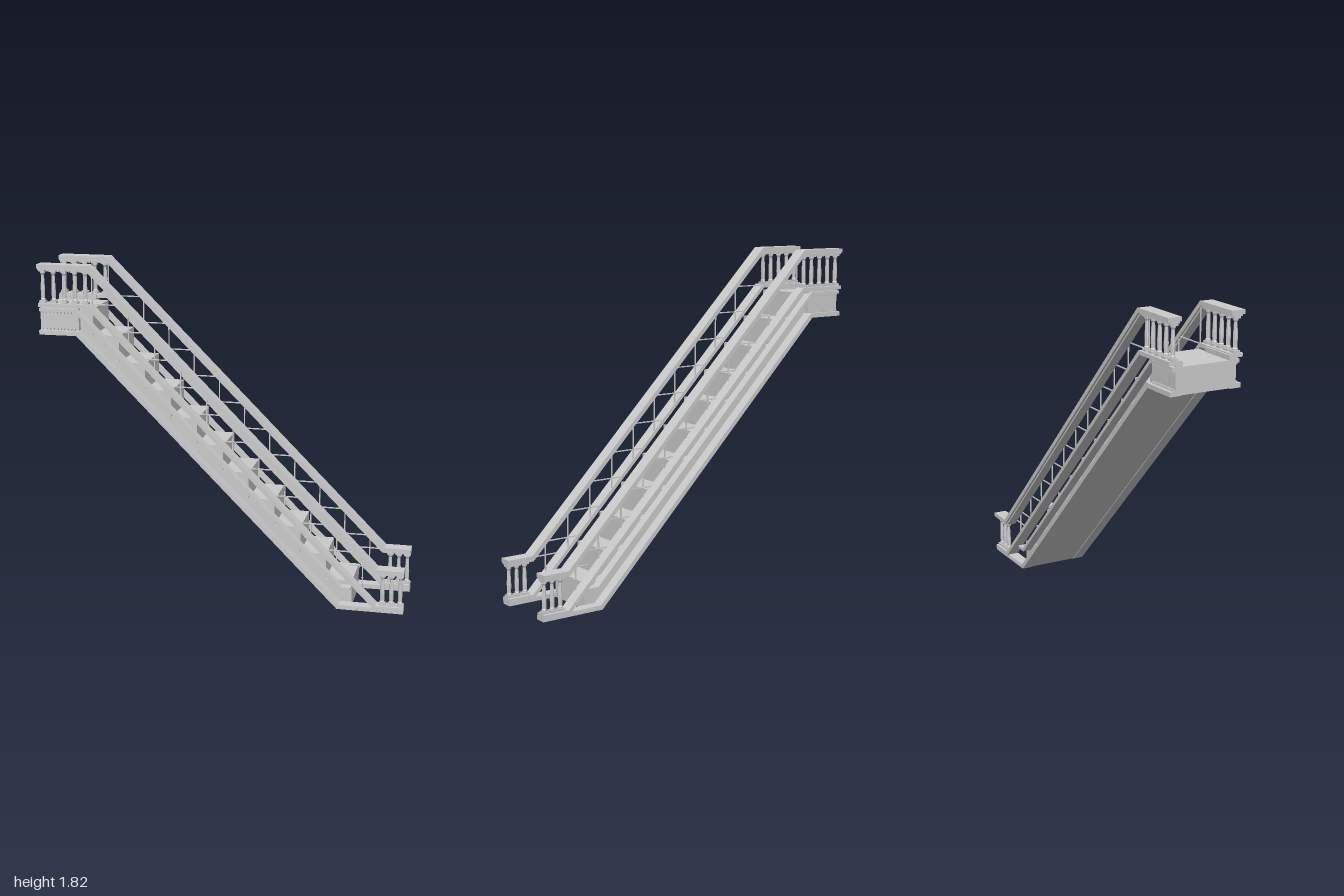
import * as THREE from 'three';

const mat = new THREE.MeshStandardMaterial({ color: 0xcccccc, flatShading: true, side: THREE.DoubleSide });
const RISE = 1.575 / 11, RUN = 0.143;

// Extrude a side profile (x, y points) between two z planes
function slab(name, pts, z0, z1) {
  const shape = new THREE.Shape(pts.map(p => new THREE.Vector2(p[0], p[1])));
  const geo = new THREE.ExtrudeGeometry(shape, { depth: z1 - z0, bevelEnabled: false });
  geo.translate(0, 0, z0);
  const mesh = new THREE.Mesh(geo, mat);
  mesh.name = name;
  return mesh;
}

// Flat - sloping - flat band of even thickness, given its top line
function band(name, top, t, z0, z1) {
  const m = t * Math.tan(Math.PI / 8);
  const low = top.map(([x, y], i) => [i === 1 || i === 2 ? x - m : x, y - t]);
  return slab(name, [...top, ...low.reverse()], z0, z1);
}

function box(name, x0, x1, y0, y1, z0, z1) {
  const mesh = new THREE.Mesh(new THREE.BoxGeometry(x1 - x0, y1 - y0, z1 - z0), mat);
  mesh.position.set((x0 + x1) / 2, (y0 + y1) / 2, (z0 + z1) / 2);
  mesh.name = name;
  return mesh;
}

// Slim post with square plinth and cap
function baluster(x, y0, y1, z) {
  const g = new THREE.Group();
  g.name = 'baluster';
  const h = y1 - y0;
  const prof = [[0.014, 0.012], [0.014, 0.02], [0.011, 0.026], [0.0125, h * 0.4], [0.009, h - 0.03], [0.014, h - 0.02], [0.014, h - 0.012]];
  const shaft = new THREE.Mesh(new THREE.LatheGeometry(prof.map(p => new THREE.Vector2(...p)), 8), mat);
  shaft.name = 'balusterShaft';
  shaft.position.set(x, y0, z);
  g.add(shaft);
  for (const y of [y0, y1 - 0.012]) g.add(box('balusterBlock', x - 0.018, x + 0.018, y, y + 0.012, z - 0.018, z + 0.018));
  return g;
}

// Row of small blocks under a moulding
function dentils(x0, x1, y, z0, z1) {
  const g = new THREE.Group();
  g.name = 'dentils';
  for (let x = x0 + 0.008; x < x1 - 0.008; x += 0.02) g.add(box('dentil', x, x + 0.01, y, y + 0.01, z0, z1));
  return g;
}

// Everything on one side, built for +z
function sideRailing() {
  const g = new THREE.Group();
  g.name = 'sideRailing';

  // Handrail, lower rail, step rail and base moulding
  g.add(band('handrail', [[-1, 1.815], [-0.715, 1.815], [0.855, 0.245], [1, 0.245]], 0.022, 0.14, 0.215));
  g.add(band('handrailMoulding', [[-1, 1.793], [-0.724, 1.793], [0.846, 0.223], [1, 0.223]], 0.009, 0.15, 0.203));
  g.add(band('lowerRail', [[-1, 1.605], [-0.715, 1.605], [0.853, 0.037], [1, 0.037]], 0.02, 0.14, 0.207));
  g.add(band('stepRail', [[-1, 1.577], [-0.795, 1.577], [0.66, 0.122], [0.715, 0.122]], 0.018, 0.138, 0.19));
  g.add(band('baseMoulding', [[-1, 1.458], [-0.782, 1.458], [0.652, 0.024], [1, 0.024]], 0.024, 0.138, 0.2));

  // Landing side wall and its trim
  g.add(box('landingWall', -1, -0.785, 1.45, 1.6, 0.13, 0.17));
  g.add(dentils(-1, -0.79, 1.549, 0.17, 0.182));
  g.add(dentils(-1, -0.79, 1.458, 0.17, 0.182));
  g.add(dentils(-1, -0.72, 1.776, 0.155, 0.195));
  g.add(dentils(0.66, 1, 0.008, 0.2, 0.205));

  // Balusters on the level stretches
  for (const x of [-0.98, -0.92, -0.86, -0.8, -0.742]) g.add(baluster(x, 1.605, 1.785, 0.175));
  for (const x of [0.885, 0.933, 0.98]) g.add(baluster(x, 0.037, 0.215, 0.175));

  // Thin stepped bars filling the sloping stretch
  const r = 0.003, z = 0.147;
  for (let k = 0; k < 10; k++) {
    const x = -0.515 + RUN * k, y = 1.6 - RUN * k;
    g.add(box('crossBar', x - 0.2, x + 0.01, y - r, y + r, z - r, z + r));
    g.add(box('uprightBar', x - r, x + r, y - 0.21, y, z - r, z + r));
    const knot = new THREE.Mesh(new THREE.OctahedronGeometry(0.007), mat);
    knot.name = 'barKnot';
    knot.position.set(x, y - RUN, z);
    g.add(knot);
  }
  g.add(box('crossBar', 0.7, 0.86, 0.236, 0.242, z - r, z + r));
  g.add(box('uprightBar', -0.715 - r, -0.715 + r, 1.6, 1.8, z - r, z + r));
  return g;
}

export function createModel() {
  const model = new THREE.Group();
  model.name = 'staircase';

  // Landing and steps as one solid with a sloping underside
  const pts = [[-1, 1.437], [-1, 1.575]];
  for (let k = 0; k < 11; k++) {
    const x = -0.715 + RUN * k;
    pts.push([x, 1.575 - RISE * k], [x, 1.575 - RISE * (k + 1)]);
  }
  pts.push([0.648, 0], [-0.79, 1.437]);
  model.add(slab('steps', pts, -0.14, 0.14));

  // Matching railings on both sides
  const left = sideRailing();
  const right = sideRailing();
  right.scale.z = -1;
  model.add(left, right);
  return model;
}
